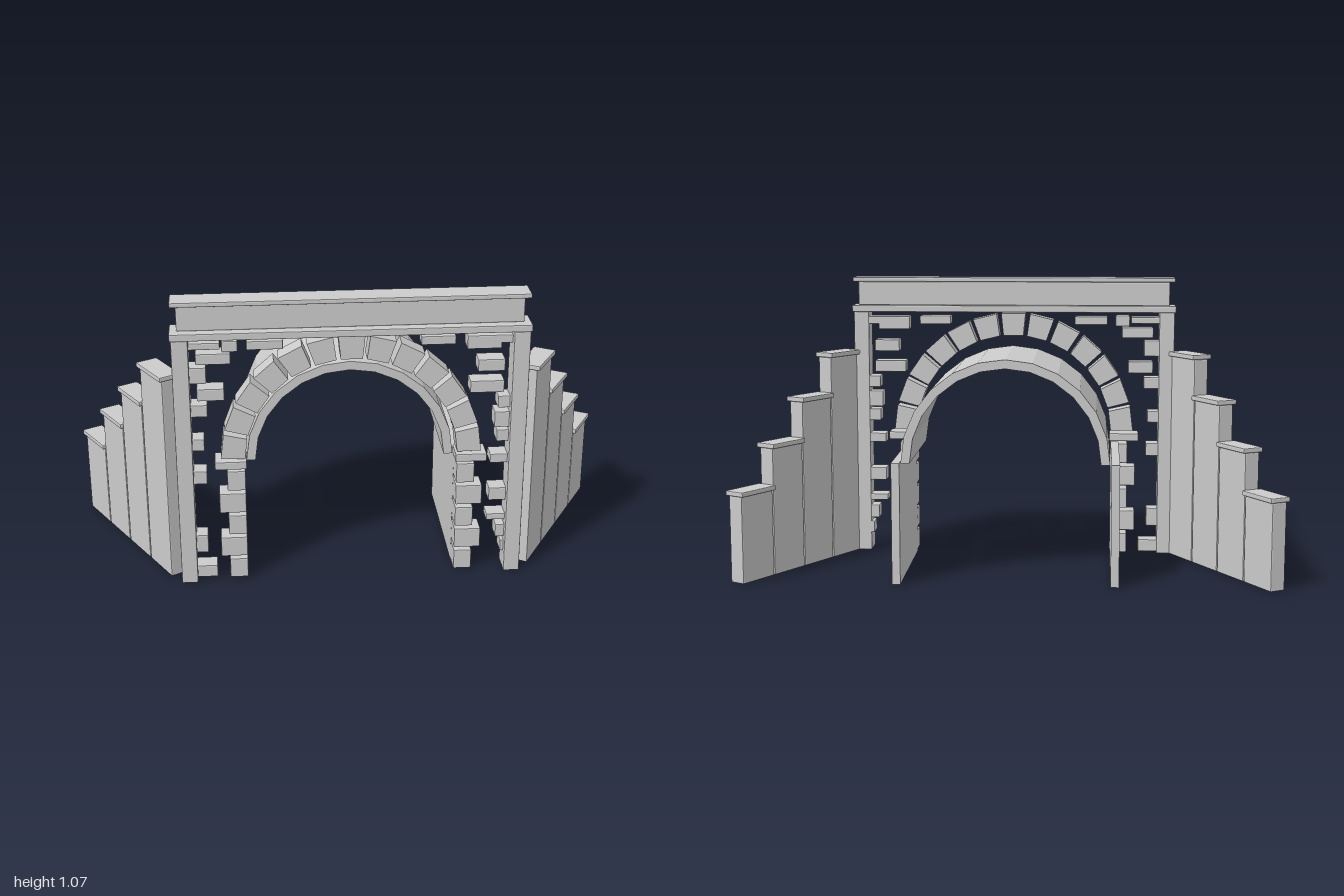
import * as THREE from 'three';
import { RoundedBoxGeometry } from 'three/addons/geometries/RoundedBoxGeometry.js';

const stone = new THREE.MeshStandardMaterial({ color: 0xcccccc, flatShading: true });
stone.name = 'grey stone';

function add(parent, name, geometry, x = 0, y = 0, z = 0) {
  const mesh = new THREE.Mesh(geometry, stone);
  mesh.name = name;
  mesh.position.set(x, y, z);
  parent.add(mesh);
  return mesh;
}

// Box with a narrow chamfer, given by its limits on each axis
function block(parent, name, x0, x1, y0, y1, z0, z1, bevel = 0.004) {
  const geometry = new RoundedBoxGeometry(x1 - x0, y1 - y0, z1 - z0, 1, bevel);
  return add(parent, name, geometry, (x0 + x1) / 2, (y0 + y1) / 2, (z0 + z1) / 2);
}

// Same, mirrored when side is -1
function sideBlock(parent, name, side, x0, x1, ...rest) {
  return side > 0 ? block(parent, name, x0, x1, ...rest) : block(parent, name, -x1, -x0, ...rest);
}

// Ring sector in the xy plane, extruded along z
function sector(r0, r1, a0, a1, steps, depth) {
  const points = [];
  for (let i = 0; i <= steps; i++) {
    const a = a0 + (a1 - a0) * i / steps;
    points.push(new THREE.Vector2(r1 * Math.cos(a), r1 * Math.sin(a)));
  }
  for (let i = steps; i >= 0; i--) {
    const a = a0 + (a1 - a0) * i / steps;
    points.push(new THREE.Vector2(r0 * Math.cos(a), r0 * Math.sin(a)));
  }
  return new THREE.ExtrudeGeometry(new THREE.Shape(points), { depth, bevelEnabled: false });
}

export function createModel() {
  const model = new THREE.Group();
  model.name = 'tunnelPortal';

  // Beam, parapet and coping across the top
  block(model, 'beam', -0.62, 0.62, 0.937, 0.963, 0.23, 0.333);
  block(model, 'parapet', -0.595, 0.595, 0.963, 1.053, 0.236, 0.302);
  block(model, 'coping', -0.615, 0.615, 1.053, 1.07, 0.225, 0.317);

  // Barrel vault
  add(model, 'vault', sector(0.338, 0.37, 0, Math.PI, 12, 0.53), 0, 0.44, -0.292);

  // Arch ring of separate wedge stones
  const count = 13, step = Math.PI / count;
  for (let i = 0; i < count; i++) {
    const geometry = sector(0.375, 0.46, (i + 0.08) * step, (i + 0.92) * step, 1, 0.075);
    add(model, 'archStone', geometry, 0, 0.475, 0.237);
  }

  // Loose facing stones: x0, x1, y0, y1 measured outward from the middle
  const leftOver = [
    [0.235, 0.36, 0.89, 0.922], [0.39, 0.445, 0.885, 0.925], [0.45, 0.56, 0.895, 0.92],
    [0.415, 0.535, 0.84, 0.88], [0.5, 0.56, 0.77, 0.83], [0.44, 0.535, 0.705, 0.75],
    [0.5, 0.56, 0.645, 0.69], [0.515, 0.56, 0.515, 0.56], [0.51, 0.56, 0.385, 0.435],
    [0.515, 0.56, 0.11, 0.18], [0.485, 0.56, 0.008, 0.055],
  ];
  const rightOver = [
    [0.24, 0.36, 0.89, 0.922], [0.4, 0.52, 0.87, 0.92], [0.5, 0.56, 0.89, 0.92],
    [0.44, 0.535, 0.785, 0.83], [0.415, 0.535, 0.705, 0.75], [0.515, 0.56, 0.645, 0.69],
    [0.505, 0.56, 0.57, 0.63], [0.515, 0.56, 0.515, 0.56], [0.495, 0.56, 0.43, 0.465],
    [0.495, 0.56, 0.28, 0.33], [0.49, 0.56, 0.2, 0.225], [0.525, 0.56, 0.13, 0.18],
    [0.545, 0.565, 0.07, 0.115],
  ];

  for (const side of [1, -1]) {
    sideBlock(model, 'pillar', side, 0.557, 0.615, 0, 0.938, 0.242, 0.333);
    add(model, 'tunnelWall', new THREE.BoxGeometry(0.03, 0.44, 0.53), side * 0.39, 0.22, -0.027);

    // Jamb stones, alternating narrow and wide, under an impost
    for (let i = 0; i < 5; i++) {
      const outer = i % 2 ? 0.47 : 0.44;
      sideBlock(model, 'jambStone', side, 0.375, outer, i * 0.088 + 0.005, i * 0.088 + 0.081, 0.235, 0.312);
    }
    sideBlock(model, 'impost', side, 0.37, 0.482, 0.443, 0.473, 0.232, 0.318);

    for (const [x0, x1, y0, y1] of side > 0 ? rightOver : leftOver)
      sideBlock(model, 'facingStone', side, x0, x1, y0, y1, 0.242, 0.308);

    // Stepped wing wall swept back at thirty degrees
    const wing = new THREE.Group();
    wing.name = side > 0 ? 'leftWing' : 'rightWing';
    for (let i = 0; i < 4; i++) {
      const section = new THREE.Group();
      section.name = 'wingSection';
      section.position.set(side * (0.669 + i * 0.0837), 0, 0.195 - i * 0.1445);
      section.rotation.y = -side * Math.PI / 6;
      const top = 0.772 - i * 0.1515;
      block(section, 'wingWall', -0.03, 0.03, 0, top, -0.0815, 0.0815);
      block(section, 'wingCap', -0.041, 0.041, top, top + 0.018, -0.0878, 0.0878);
      wing.add(section);
    }
    model.add(wing);
  }
  return model;
}
